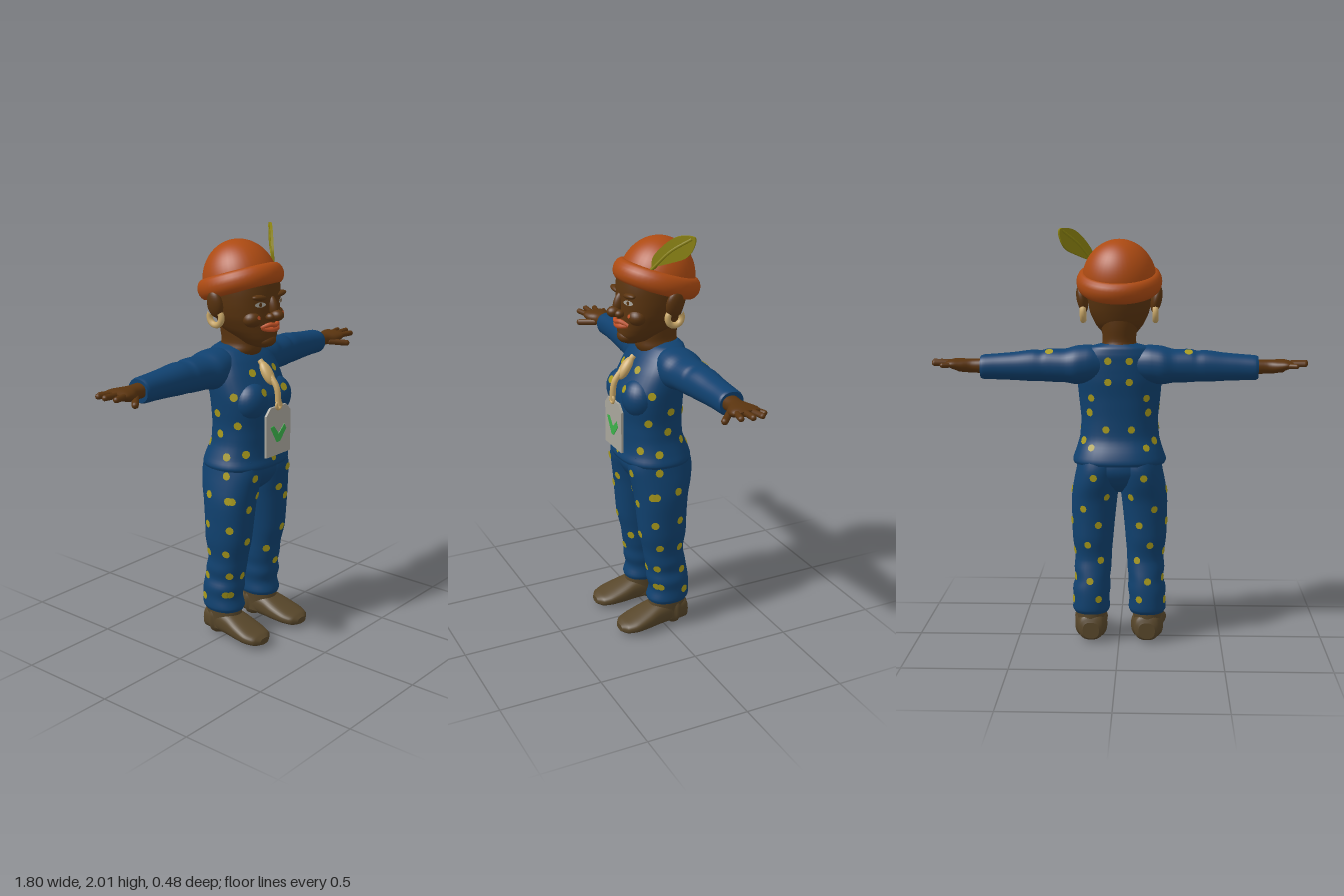
import * as THREE from 'three';

const mat = (name, color) => {
  const m = new THREE.MeshStandardMaterial({ color });
  m.name = name;
  return m;
};

export function createModel() {
  const root = new THREE.Group();
  root.name = 'figure';
  const skin = mat('skin brown', 0x5a340f), blue = mat('cloth blue', 0x10416f);
  const orange = mat('hat orange', 0xac4a12), yellow = mat('dot yellow', 0xa89a1c);
  const shoeBrown = mat('shoe brown', 0x57462a), cream = mat('cream', 0xcaa868);
  const cardGrey = mat('card grey', 0xa9a69c), lipRed = mat('lip orange', 0xbd4f24);
  const green = mat('mark green', 0x3bb24a), olive = mat('feather olive', 0x8a8210);

  const add = (name, geo, material, parent = root) => {
    const m = new THREE.Mesh(geo, material);
    m.name = name;
    parent.add(m);
    return m;
  };
  // mirrored copy of a geometry across x = 0, with the faces turned back out
  const mirrored = (geo) => {
    const g = geo.clone().scale(-1, 1, 1);
    const a = g.index.array;
    for (let i = 0; i < a.length; i += 3) [a[i + 1], a[i + 2]] = [a[i + 2], a[i + 1]];
    return g;
  };
  const pair = (name, geo, material) =>
    [add('left ' + name, geo, material), add('right ' + name, mirrored(geo), material)];

  // smooth skin over rounded cross-sections; row = [along axis, centre a, centre b, radius a, radius b]
  function loft(axis, rows, power = 2.2, sides = 36) {
    const centre = new THREE.CatmullRomCurve3(rows.map((r) => new THREE.Vector3(r[1], r[0], r[2])));
    const radius = new THREE.CatmullRomCurve3(rows.map((r) => new THREE.Vector3(r[3], 0, r[4])));
    const steps = (rows.length - 1) * 4, pos = [], idx = [];
    const put = (a, s, b) => pos.push(...(axis === 'y' ? [a, s, b] : axis === 'x' ? [s, a, b] : [a, b, s]));
    const tri = (a, b, c) => (axis === 'y' ? idx.push(a, b, c) : idx.push(a, c, b));
    const bend = (v) => Math.sign(v) * Math.abs(v) ** (2 / power);
    const ring = (t) => {
      const c = centre.getPoint(t), r = radius.getPoint(t);
      for (let i = 0; i < sides; i++) {
        const q = (i / sides) * Math.PI * 2;
        put(c.x + r.x * bend(Math.cos(q)), c.y, c.z + r.z * bend(Math.sin(q)));
      }
      return c;
    };
    for (let j = 0; j <= steps; j++) ring(j / steps);
    for (let j = 0; j < steps; j++) {
      for (let i = 0; i < sides; i++) {
        const k = (i + 1) % sides, a = j * sides + i, b = j * sides + k;
        tri(a, a + sides, b);
        tri(b, a + sides, b + sides);
      }
    }
    for (const end of [0, 1]) {
      const first = pos.length / 3, c = ring(end);
      put(c.x, c.y, c.z);
      for (let i = 0; i < sides; i++) {
        const k = (i + 1) % sides;
        if (end) tri(first + sides, first + k, first + i);
        else tri(first + sides, first + i, first + k);
      }
    }
    const g = new THREE.BufferGeometry();
    g.setAttribute('position', new THREE.Float32BufferAttribute(pos, 3));
    g.setIndex(idx);
    g.computeVertexNormals();
    return g;
  }
  const ball = (x, y, z, rx, ry, rz, tiltX = 0, tiltZ = 0) =>
    new THREE.SphereGeometry(1, 24, 16).scale(rx, ry, rz).rotateX(tiltX).rotateZ(tiltZ).translate(x, y, z);
  const tube = (pts, r) =>
    new THREE.TubeGeometry(new THREE.CatmullRomCurve3(pts.map((p) => new THREE.Vector3(...p))), 24, r, 10);
  const finger = (a, b, r) => {
    const p = new THREE.Vector3(...a), q = new THREE.Vector3(...b), d = q.clone().sub(p);
    const turn = new THREE.Quaternion().setFromUnitVectors(new THREE.Vector3(0, 1, 0), d.clone().normalize());
    return new THREE.CapsuleGeometry(r, d.length(), 5, 10).applyQuaternion(turn)
      .translate(...p.add(q).multiplyScalar(0.5).toArray());
  };

  // shirt
  const cloth = [];
  cloth.push(add('shirt body', loft('y', [
    [0.875, 0, 0, 0.222, 0.172], [0.89, 0, 0, 0.227, 0.177], [0.93, 0, 0, 0.214, 0.167],
    [1.0, 0, 0.012, 0.193, 0.152], [1.08, 0, 0.015, 0.187, 0.152], [1.16, 0, 0.018, 0.194, 0.158],
    [1.22, 0, 0.014, 0.2, 0.158], [1.28, 0, -0.004, 0.203, 0.147], [1.34, 0, -0.022, 0.2, 0.131],
    [1.4, 0, -0.043, 0.182, 0.111], [1.44, 0, -0.06, 0.145, 0.088], [1.457, 0, -0.07, 0.09, 0.06],
  ], 2.3), blue));
  cloth.push(...pair('shirt chest', ball(0.088, 1.205, 0.1, 0.09, 0.095, 0.082), blue));
  cloth.push(...pair('sleeve', loft('x', [
    [0.06, 1.36, -0.06, 0.07, 0.075], [0.14, 1.36, -0.06, 0.09, 0.1], [0.2, 1.354, -0.062, 0.092, 0.106],
    [0.26, 1.351, -0.065, 0.08, 0.092], [0.34, 1.352, -0.066, 0.079, 0.084], [0.37, 1.35, -0.068, 0.074, 0.08],
    [0.41, 1.351, -0.07, 0.075, 0.078], [0.5, 1.348, -0.072, 0.067, 0.07], [0.58, 1.346, -0.073, 0.062, 0.065],
    [0.645, 1.344, -0.073, 0.059, 0.064], [0.66, 1.344, -0.073, 0.054, 0.059],
  ]), blue));

  // trousers
  cloth.push(add('trouser seat', loft('y', [
    [0.735, 0, 0, 0.05, 0.07], [0.78, 0, -0.003, 0.15, 0.125],
    [0.85, 0, -0.003, 0.205, 0.155], [0.93, 0, 0, 0.19, 0.145],
  ]), blue));
  cloth.push(...pair('trouser leg', loft('y', [
    [0.13, 0.138, -0.025, 0.084, 0.098], [0.15, 0.138, -0.028, 0.092, 0.106], [0.2, 0.138, -0.035, 0.088, 0.1],
    [0.25, 0.136, -0.028, 0.093, 0.105], [0.3, 0.131, -0.025, 0.085, 0.102], [0.35, 0.131, -0.016, 0.091, 0.101],
    [0.4, 0.128, -0.008, 0.09, 0.1], [0.5, 0.13, -0.003, 0.1, 0.118], [0.6, 0.127, 0, 0.106, 0.125],
    [0.7, 0.122, 0, 0.112, 0.134], [0.78, 0.112, -0.004, 0.111, 0.152], [0.85, 0.102, -0.002, 0.107, 0.162],
    [0.92, 0.098, 0, 0.098, 0.15],
  ]), blue));

  // shoes
  pair('shoe foot', loft('z', [
    [-0.128, 0.137, 0.05, 0.04, 0.04], [-0.115, 0.137, 0.06, 0.06, 0.06], [-0.07, 0.138, 0.066, 0.07, 0.066],
    [-0.02, 0.14, 0.066, 0.07, 0.066], [0.04, 0.143, 0.06, 0.074, 0.06], [0.1, 0.146, 0.049, 0.082, 0.049],
    [0.17, 0.15, 0.036, 0.083, 0.036], [0.22, 0.15, 0.028, 0.066, 0.027], [0.243, 0.15, 0.024, 0.032, 0.016],
  ], 2.5), shoeBrown);
  pair('shoe ankle', loft('y', [
    [0.03, 0.138, -0.03, 0.068, 0.09], [0.09, 0.139, -0.026, 0.07, 0.096], [0.17, 0.138, -0.027, 0.076, 0.092],
  ]), shoeBrown);

  // hands
  pair('palm', loft('x', [
    [0.63, 1.348, -0.068, 0.036, 0.042], [0.7, 1.348, -0.065, 0.033, 0.04], [0.75, 1.35, -0.06, 0.032, 0.06],
    [0.79, 1.356, -0.062, 0.026, 0.068], [0.825, 1.36, -0.066, 0.012, 0.058],
  ]), skin);
  [
    ['index finger', [0.79, 1.358, -0.018], [0.865, 1.36, 0.0], 0.014],
    ['middle finger', [0.8, 1.36, -0.05], [0.887, 1.365, -0.046], 0.014],
    ['ring finger', [0.8, 1.36, -0.082], [0.88, 1.362, -0.095], 0.0135],
    ['little finger', [0.78, 1.355, -0.11], [0.838, 1.355, -0.13], 0.012],
    ['thumb', [0.72, 1.335, -0.03], [0.785, 1.325, 0.032], 0.016],
  ].forEach(([name, a, b, r]) => pair(name, finger(a, b, r), skin));

  // neck and head
  add('neck', loft('y', [
    [1.38, 0, -0.05, 0.07, 0.085], [1.43, 0, -0.036, 0.09, 0.105], [1.47, 0, -0.03, 0.08, 0.1],
    [1.53, 0, -0.035, 0.085, 0.102], [1.6, 0, -0.04, 0.1, 0.1],
  ]), skin);
  const head = add('head', loft('y', [
    [1.457, 0, 0.095, 0.03, 0.035], [1.47, 0, 0.075, 0.055, 0.07], [1.5, 0, 0.055, 0.083, 0.105],
    [1.54, 0, 0.02, 0.113, 0.142], [1.6, 0, 0.005, 0.141, 0.156], [1.66, 0, -0.004, 0.153, 0.164],
    [1.72, 0, -0.01, 0.157, 0.17], [1.78, 0, -0.015, 0.155, 0.165], [1.85, 0, -0.03, 0.11, 0.115],
  ]), skin);
  add('nose bridge', ball(0, 1.655, 0.158, 0.022, 0.055, 0.03, -0.3), skin);
  add('nose tip', ball(0, 1.616, 0.187, 0.03, 0.026, 0.034), skin);
  add('chin', ball(0, 1.492, 0.125, 0.05, 0.034, 0.042), skin);
  pair('nostril', ball(0.028, 1.61, 0.17, 0.022, 0.019, 0.024), skin);
  pair('cheek', ball(0.08, 1.6, 0.105, 0.05, 0.04, 0.045), skin);
  pair('brow', ball(0.072, 1.702, 0.14, 0.048, 0.014, 0.022, 0, 0.1), skin);
  pair('ear', ball(0.177, 1.665, -0.04, 0.026, 0.066, 0.044, 0, -0.2), skin);
  pair('earring', new THREE.TorusGeometry(0.036, 0.015, 10, 28, 4.4)
    .rotateZ(-Math.PI / 2 - 2.2).rotateY(Math.PI / 2).translate(0.172, 1.602, -0.042), cream);
  add('upper lip', tube([[-0.062, 1.558, 0.138], [-0.025, 1.573, 0.168], [0, 1.568, 0.176],
    [0.025, 1.573, 0.168], [0.062, 1.558, 0.138]], 0.011), lipRed);
  add('lower lip', tube([[-0.055, 1.556, 0.142], [-0.025, 1.549, 0.166], [0, 1.547, 0.171],
    [0.025, 1.549, 0.166], [0.055, 1.556, 0.142]], 0.012), lipRed);

  // thin discs laid on a surface where a ray from outside meets it
  root.updateMatrixWorld(true);
  const ray = new THREE.Raycaster();
  function patch(name, from, dir, targets, material, rx, ry = rx, lift = 0.004) {
    const d = new THREE.Vector3(...dir);
    ray.set(new THREE.Vector3(...from).addScaledVector(d, -1.5), d);
    const hit = ray.intersectObjects(targets, false)[0];
    if (!hit) return;
    const m = add(name, new THREE.CircleGeometry(1, 10).scale(rx, ry, 1), material);
    m.position.copy(hit.point).addScaledVector(hit.face.normal, lift);
    m.lookAt(m.position.clone().add(hit.face.normal));
  }
  for (const s of [1, -1]) {
    patch('eye', [s * 0.073, 1.67, 0], [0, 0, -1], [head], cardGrey, 0.029, 0.012);
    patch('pupil', [s * 0.073, 1.67, 0], [0, 0, -1], [head], skin, 0.008, 0.01, 0.006);
    patch('cheek spot', [s * 0.088, 1.61, 0], [0, 0, -1],
      [head, ...root.children.filter((c) => c.name.endsWith('cheek'))], lipRed, 0.01);
    // dots on the front, sides, back and sleeves
    [[0.125, 0.84], [0.14, 0.68], [0.135, 0.51], [0.13, 0.32], [0.19, 0.23], [0.21, 0.73], [0.085, 0.74], [0.07, 0.4],
      [0.08, 1.34], [0.075, 1.255], [0.17, 1.1], [0.15, 0.96]]
      .forEach(([x, y]) => patch('dot', [s * x, y, 0], [0, 0, -1], cloth, yellow, 0.02));
    [[0.05, 0.85], [0.07, 0.73], [-0.04, 0.745], [0.075, 0.58], [-0.05, 0.59], [0.05, 0.45], [-0.055, 0.44],
      [0.055, 0.33], [-0.07, 0.31], [0.04, 0.23], [-0.08, 0.2],
      [0.08, 1.24], [-0.015, 1.15], [-0.1, 1.13], [0.05, 0.945], [0, 1.05], [-0.08, 0.99]]
      .forEach(([z, y]) => patch('dot', [0, y, z], [-s, 0, 0].map((v) => v + 0), cloth, yellow, 0.02));
    [[0.05, 1.38], [0.05, 1.28], [0.13, 1.2], [0.06, 1.05], [0.13, 0.96], [0.12, 0.82], [0.06, 0.72], [0.17, 0.66],
      [0.1, 0.58], [0.15, 0.48], [0.09, 0.4], [0.14, 0.3], [0.1, 0.21]]
      .forEach(([x, y]) => patch('dot', [s * x, y, 0], [0, 0, 1], cloth, yellow, 0.018));
    patch('dot', [s * 0.33, 1.35, -0.115], [0, -1, 0], cloth, yellow, 0.02);
  }
  patch('dot', [0, 0.92, 0], [0, 0, -1], cloth, yellow, 0.016);

  // hat, tipped back
  const hat = new THREE.Group();
  hat.name = 'hat';
  hat.position.set(0, 1.75, -0.034);
  hat.rotation.x = -0.31;
  root.add(hat);
  add('hat crown', new THREE.SphereGeometry(1, 40, 20, 0, Math.PI * 2, 0, Math.PI * 0.55)
    .scale(0.178, 0.2, 0.18), orange, hat);
  add('hat brim', new THREE.TorusGeometry(0.168, 0.036, 16, 48).rotateX(Math.PI / 2)
    .scale(1, 1.4, 1.04), orange, hat);

  // feather
  const feather = new THREE.Group();
  feather.name = 'feather';
  feather.position.set(0.13, 1.84, 0.055);
  feather.rotation.y = 0.75;
  root.add(feather);
  const blade = new THREE.Shape();
  blade.moveTo(0, 0);
  blade.splineThru([[0.008, 0.05], [0.05, 0.1], [0.1, 0.14], [0.15, 0.157], [0.205, 0.152], [0.2, 0.105],
    [0.165, 0.058], [0.09, 0.028], [0, 0]].map((p) => new THREE.Vector2(...p)));
  add('feather blade', new THREE.ExtrudeGeometry(blade, { depth: 0.012, bevelEnabled: false, curveSegments: 30 })
    .translate(0, 0, -0.006), olive, feather);
  add('feather quill', tube([[-0.01, -0.02, 0], [0.09, 0.08, 0], [0.19, 0.145, 0]], 0.009), olive, feather);

  // neck cord and hanging card
  add('cord knot', ball(0, 1.33, 0.13, 0.031, 0.062, 0.026, -0.6), cream);
  add('cord', tube([[0, 1.385, 0.085], [0, 1.33, 0.14], [0, 1.27, 0.187], [0, 1.18, 0.2]], 0.015), cream);
  add('cord ring', new THREE.TorusGeometry(0.018, 0.007, 8, 20).translate(0, 1.185, 0.2), cream);
  const plate = (pts, depth, z) => new THREE.ExtrudeGeometry(
    new THREE.Shape(pts.map((p) => new THREE.Vector2(...p))), { depth, bevelEnabled: false }).translate(0, 0, z);
  add('card', plate([[-0.088, 0.94], [0.095, 0.94], [0.095, 1.145], [0.062, 1.18],
    [-0.055, 1.18], [-0.088, 1.145]], 0.012, 0.186), cardGrey);
  add('card mark', plate([[-0.06, 1.085], [-0.012, 1.005], [0.012, 1.005], [0.06, 1.06], [0.045, 1.085],
    [0.002, 1.045], [-0.035, 1.09]], 0.004, 0.197), green);

  return root;
}
